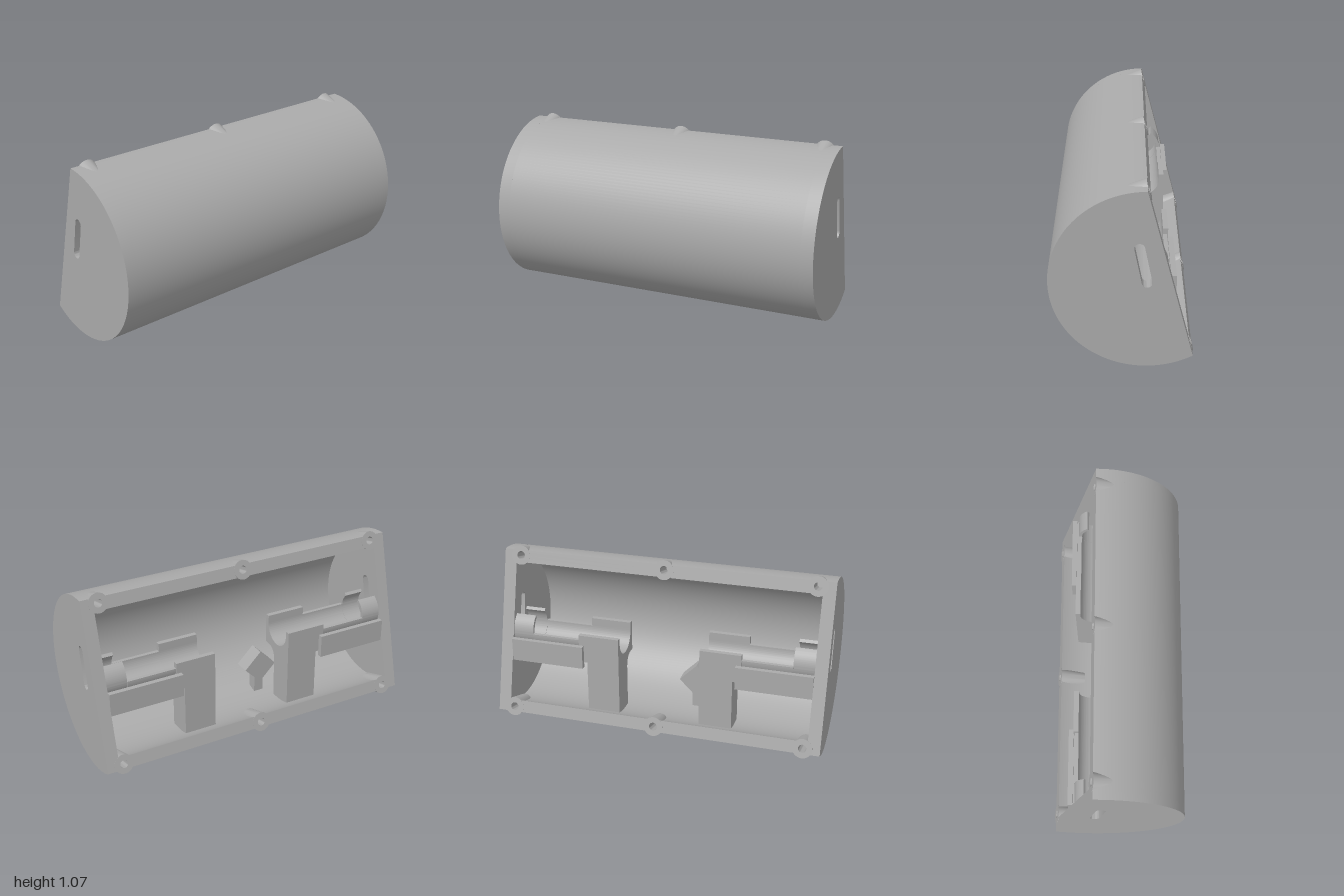
import * as THREE from 'three';
import { toCreasedNormals } from 'three/addons/utils/BufferGeometryUtils.js';

const TILT = 0.253, R = 0.52, RI = 0.448, FACE = -0.13, END = 0.925;
const CX = -0.13, CY = 0.525;
const HALF = Math.sqrt(R * R - FACE * FACE), HALF_IN = Math.sqrt(RI * RI - FACE * FACE);

export function createModel() {
  const grey = new THREE.MeshStandardMaterial({ color: 0xaaaaaa, side: THREE.DoubleSide });
  grey.name = 'grey plastic';
  const model = new THREE.Group();
  model.name = 'housing';

  const add = (parent, name, geometry, x = 0, y = 0, z = 0) => {
    const mesh = new THREE.Mesh(geometry, grey);
    mesh.name = name;
    mesh.position.set(x, y, z);
    parent.add(mesh);
    return mesh;
  };
  const box = (parent, name, x0, x1, y0, y1, z0, z1) => add(parent, name,
    new THREE.BoxGeometry(x1 - x0, y1 - y0, z1 - z0), (x0 + x1) / 2, (y0 + y1) / 2, (z0 + z1) / 2);
  const extrude = (shape, depth) => toCreasedNormals(
    new THREE.ExtrudeGeometry(shape, { depth, bevelEnabled: false, curveSegments: 64 }), 0.5);

  // Shell, built square to its open side and then tilted
  const shell = new THREE.Group();
  shell.name = 'shell';
  shell.position.set(CX, CY, 0);
  shell.rotation.z = -TILT;
  model.add(shell);

  const wall = (name, r) => {
    const a = Math.acos(FACE / r);
    add(shell, name, new THREE.CylinderGeometry(r, r, 2 * END, 96, 1, true, Math.PI / 2 - a, 2 * a)
      .rotateX(Math.PI / 2));
  };
  wall('outerWall', R);
  wall('innerWall', RI);

  // End walls with a slanted slot
  const aEnd = Math.acos(FACE / R);
  const endShape = new THREE.Shape().absarc(0, 0, R, -aEnd, aEnd, false);
  endShape.closePath();
  const toLocal = (x, y) => new THREE.Vector2(x - CX, y - CY).rotateAround(new THREE.Vector2(), TILT);
  const low = toLocal(-0.131, 0.522), high = toLocal(-0.091, 0.723);
  const dir = high.clone().sub(low).angle();
  const slot = new THREE.Path();
  slot.absarc(high.x, high.y, 0.028, dir - Math.PI / 2, dir + Math.PI / 2, false);
  slot.absarc(low.x, low.y, 0.028, dir + Math.PI / 2, dir + Math.PI * 1.5, false);
  slot.closePath();
  endShape.holes.push(slot);
  for (const z of [-1, END]) add(shell, 'endWall', extrude(endShape, 1 - END), 0, 0, z);

  // Rims along the open side, with hollow screw bosses
  const bossProfile = [[0, 0.01], [0.024, 0.01], [0.024, -0.132], [0.058, -0.132], [0.044, 0.025], [0, 0.025]]
    .map(([r, y]) => new THREE.Vector2(r, y));
  for (const side of [-1, 1]) {
    const y0 = side * HALF_IN, y1 = side * HALF;
    const rim = new THREE.Shape([[-END, y0], [END, y0], [END, y1], [-END, y1]]
      .map(([x, y]) => new THREE.Vector2(x, y)));
    for (const z of [-0.897, 0, 0.897]) {
      rim.holes.push(new THREE.Path().absarc(z, side * 0.471, 0.024, 0, Math.PI * 2, true));
      const boss = toCreasedNormals(new THREE.LatheGeometry(bossProfile, 32), 0.6).rotateZ(-Math.PI / 2);
      add(shell, 'screwBoss', boss, 0, side * 0.471, z);
    }
    add(shell, 'rim', new THREE.ShapeGeometry(rim, 32).rotateY(-Math.PI / 2), FACE, 0, 0);
  }

  // Ring sector running along z
  const band = (r0, r1, from, to, depth) => {
    const s = new THREE.Shape();
    s.absarc(0, 0, r1, from, to, false);
    s.absarc(0, 0, r0, to, from, true);
    s.closePath();
    return extrude(s, depth);
  };

  // Two mirrored cradles
  const bx = -0.128, by = 0.55;
  const cradleShape = new THREE.Shape();
  cradleShape.moveTo(-0.26, 0.585);
  cradleShape.lineTo(-0.26, 0.41);
  cradleShape.lineTo(0.004, 0.41);
  cradleShape.lineTo(0.004, 0.6);
  cradleShape.lineTo(bx + 0.102, 0.6);
  cradleShape.absarc(bx, by, 0.102, 0, -Math.PI, true);
  cradleShape.lineTo(bx - 0.102, 0.585);
  cradleShape.closePath();
  const stemShape = new THREE.Shape();
  stemShape.moveTo(-0.26, 0.41);
  stemShape.lineTo(-0.26, 0.09);
  stemShape.lineTo(-0.1, 0.07);
  stemShape.lineTo(-0.1, 0.34);
  stemShape.quadraticCurveTo(-0.09, 0.41, -0.03, 0.41);
  stemShape.closePath();
  for (const side of [-1, 1]) {
    const cradle = new THREE.Group();
    cradle.name = 'cradle';
    const place = (name, geometry, x, y, z0, z1) =>
      add(cradle, name, geometry, x, y, side > 0 ? z0 : -z1);
    const slab = (name, x0, x1, y0, y1, z0, z1) =>
      box(cradle, name, x0, x1, y0, y1, Math.min(side * z0, side * z1), Math.max(side * z0, side * z1));
    place('saddle', extrude(cradleShape, 0.25), 0, 0, 0.25, 0.5);
    place('stem', extrude(stemShape, 0.2), 0, 0, 0.25, 0.45);
    place('trough', band(0.102, 0.125, Math.PI, Math.PI * 2, 0.3), bx, by, 0.5, 0.8);
    place('openRing', band(0.1, 0.12, Math.PI * 0.68, Math.PI * 2.27, 0.125), bx, by, 0.8, 0.925);
    slab('frontPlate', -0.29, -0.26, 0.38, 0.52, 0.47, 0.925);
    slab('plateBridge', -0.265, -0.235, 0.42, 0.5, 0.48, 0.925);
    model.add(cradle);
  }

  // Tilted block on a short post between the cradles
  box(model, 'blockPost', -0.03, 0.03, 0.08, 0.25, 0.15, 0.21);
  box(model, 'tiltedBlock', -0.05, 0.05, 0.195, 0.345, 0.105, 0.255).rotation.x = Math.PI / 4;
  return model;
}
